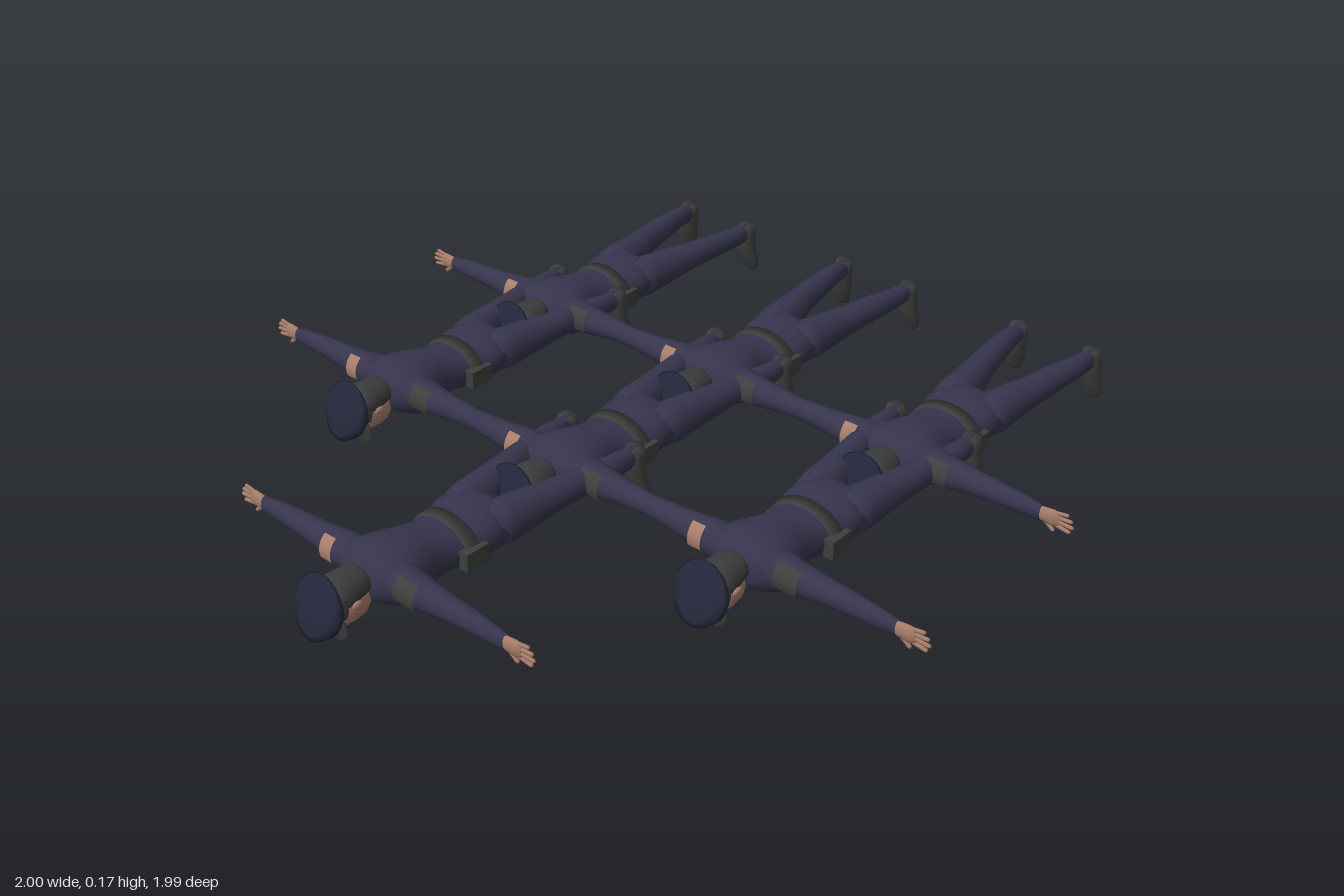
import * as THREE from 'three';

const mat = (name, color) => {
  const m = new THREE.MeshStandardMaterial({ color, side: THREE.DoubleSide });
  m.name = name;
  return m;
};

// Closed skin over elliptical rings along +z: [z, cx, cy, rx, ry, tilt]
function loft(rings, sides = 16) {
  const pos = [], idx = [];
  for (const [z, cx, cy, rx, ry, tilt = 0] of rings) {
    for (let j = 0; j < sides; j++) {
      const a = (j / sides) * Math.PI * 2;
      pos.push(cx + rx * Math.cos(a), cy + ry * Math.sin(a), z + tilt * Math.sin(a));
    }
  }
  const last = (rings.length - 1) * sides;
  const c0 = rings.length * sides, c1 = c0 + 1;
  for (const r of [rings[0], rings[rings.length - 1]]) pos.push(r[1], r[2], r[0]);
  for (let j = 0; j < sides; j++) {
    const k = (j + 1) % sides;
    for (let i = 0; i < last; i += sides) {
      idx.push(i + j, i + k, i + sides + j, i + k, i + sides + k, i + sides + j);
    }
    idx.push(c0, k, j, c1, last + j, last + k);
  }
  const g = new THREE.BufferGeometry();
  g.setAttribute('position', new THREE.Float32BufferAttribute(pos, 3));
  g.setIndex(idx);
  g.computeVertexNormals();
  return g;
}

function createFigure() {
  const uniform = mat('navy uniform', 0x36354d);
  const capNavy = mat('dark navy cap', 0x24263a);
  const grey = mat('dark grey leather', 0x3c3f3c);
  const hairMat = mat('charcoal hair', 0x3a3d3c);
  const skin = mat('skin', 0xa67d69);
  const fig = new THREE.Group();
  const add = (name, geo, m, x = 0, y = 0, z = 0) => {
    const mesh = new THREE.Mesh(geo, m);
    mesh.name = name;
    mesh.position.set(x, y, z);
    fig.add(mesh);
    return mesh;
  };

  // Torso, lying face down with the head towards +z
  add('torso', loft([
    [-0.33, 0, 0.1, 0.05, 0.035], [-0.295, 0, 0.099, 0.098, 0.056],
    [-0.24, 0, 0.094, 0.097, 0.062], [-0.19, 0, 0.088, 0.085, 0.056],
    [-0.14, 0, 0.092, 0.075, 0.056], [-0.09, 0, 0.098, 0.078, 0.063],
    [-0.04, 0, 0.1, 0.1, 0.069], [0, 0, 0.103, 0.115, 0.067],
    [0.035, 0, 0.108, 0.09, 0.054], [0.055, 0, 0.108, 0.042, 0.036],
  ], 20), uniform);
  add('belt', loft([
    [-0.205, 0, 0.09, 0.092, 0.061], [-0.172, 0, 0.089, 0.086, 0.061],
  ], 20), grey);
  add('beltBuckle', new THREE.BoxGeometry(0.03, 0.008, 0.026), grey, 0, 0.028, -0.188);
  add('holster', new THREE.BoxGeometry(0.026, 0.045, 0.065), grey, 0.088, 0.085, -0.188);
  add('beltPouch', new THREE.BoxGeometry(0.02, 0.04, 0.04), grey, -0.083, 0.075, -0.19);

  for (const s of [1, -1]) {
    const side = s > 0 ? 'left' : 'right';

    // Legs and shoes
    add(side + 'Leg', loft([
      [-0.69, s * 0.104, 0.112, 0.02, 0.025], [-0.61, s * 0.1, 0.113, 0.027, 0.028],
      [-0.53, s * 0.088, 0.113, 0.034, 0.033], [-0.45, s * 0.077, 0.109, 0.037, 0.037],
      [-0.38, s * 0.063, 0.104, 0.044, 0.046], [-0.31, s * 0.053, 0.1, 0.05, 0.054],
      [-0.27, s * 0.05, 0.098, 0.045, 0.05],
    ]), uniform);
    add(side + 'Shoe', loft([
      [0, s * 0.115, 0.694, 0.014, 0.007], [0.012, s * 0.114, 0.69, 0.025, 0.013],
      [0.04, s * 0.111, 0.685, 0.03, 0.018], [0.075, s * 0.107, 0.677, 0.027, 0.027],
      [0.115, s * 0.105, 0.677, 0.026, 0.028], [0.136, s * 0.105, 0.68, 0.021, 0.024],
    ]).rotateX(-Math.PI / 2), grey);

    // Sleeves and armbands
    const turn = s * Math.PI / 2;
    add(side + 'Sleeve', loft([
      [0.05, 0, 0.11, 0.045, 0.045], [0.09, 0, 0.113, 0.042, 0.043],
      [0.13, 0, 0.113, 0.036, 0.038], [0.19, 0, 0.114, 0.029, 0.031],
      [0.24, 0, 0.115, 0.026, 0.027], [0.31, 0, 0.113, 0.02, 0.024],
      [0.37, 0, 0.11, 0.013, 0.019],
    ]).rotateY(turn), uniform);
    const width = s > 0 ? 0.06 : 0.035;
    add(side + 'Armband',
      new THREE.CylinderGeometry(0.044, 0.044, width, 12, 1, true, -0.4, 1.4).rotateZ(Math.PI / 2),
      s > 0 ? grey : skin, s * 0.12, 0.114, 0);

    // Hands: palm, four spread fingers and a thumb
    add(side + 'Palm', loft([
      [0.35, 0, 0.11, 0.009, 0.013], [0.375, 0, 0.11, 0.009, 0.018],
      [0.4, 0, 0.11, 0.009, 0.021], [0.415, 0, 0.11, 0.006, 0.018],
    ], 12).rotateY(turn), skin);
    const digit = (name, x, y, len, angle) => {
      const g = new THREE.CapsuleGeometry(0.0048, len, 3, 6).translate(0, len / 2, 0);
      add(name, g.rotateZ(s * (angle - Math.PI / 2)), skin, s * x, y, 0);
    };
    for (let i = 0; i < 4; i++) {
      digit(side + 'Finger' + (i + 1), 0.406, 0.095 + i * 0.01, [0.034, 0.04, 0.036, 0.026][i], (i - 1.5) * 0.1);
    }
    digit(side + 'Thumb', 0.378, 0.098, 0.03, -0.65);
    add(side + 'Ear', new THREE.SphereGeometry(0.012, 8, 6).scale(0.5, 0.8, 1.2), skin, s * 0.046, 0.095, 0.1);
    add(side + 'Eye', new THREE.SphereGeometry(0.005, 8, 6).scale(1.3, 0.6, 0.8), hairMat, s * 0.016, 0.037, 0.108);
  }

  // Head
  add('face', loft([
    [0.035, 0, 0.1, 0.03, 0.03], [0.052, 0, 0.083, 0.03, 0.042],
    [0.062, 0, 0.076, 0.034, 0.043], [0.09, 0, 0.08, 0.042, 0.047],
    [0.14, 0, 0.085, 0.045, 0.047],
  ]), skin);
  add('nose', new THREE.ConeGeometry(0.009, 0.026, 6).rotateX(-Math.PI / 2 + Math.PI), skin, 0, 0.033, 0.098);
  add('hair', loft([
    [0.04, 0, 0.118, 0.034, 0.026], [0.065, 0, 0.118, 0.043, 0.032],
    [0.1, 0, 0.115, 0.047, 0.038], [0.14, 0, 0.112, 0.048, 0.042],
  ]), hairMat);

  // Peaked cap
  add('capBand', loft([
    [0.126, 0, 0.101, 0.05, 0.052], [0.15, 0, 0.101, 0.052, 0.055],
  ], 20), grey);
  add('capCrown', loft([
    [0.14, 0, 0.102, 0.053, 0.056], [0.158, 0, 0.105, 0.07, 0.07, -0.014],
    [0.17, 0, 0.105, 0.064, 0.068, -0.025], [0.177, 0, 0.1, 0.045, 0.05, -0.02],
  ], 20), capNavy);
  add('capVisor', loft([
    [0.131, 0, 0.052, 0.046, 0.046, 0.006], [0.136, 0, 0.052, 0.046, 0.046, 0.006],
  ], 20), grey);
  return fig;
}

export function createModel() {
  const model = new THREE.Group();
  model.name = 'figureFormation';
  const figure = createFigure();

  // Seven figures in three ranks
  const places = [[0, 0.797]];
  for (const x of [-0.547, 0, 0.547]) places.push([x, 0.25], [x, -0.295]);
  places.forEach(([x, z], i) => {
    const copy = figure.clone();
    copy.name = 'lyingFigure' + (i + 1);
    copy.position.set(x, 0, z);
    model.add(copy);
  });
  return model;
}
